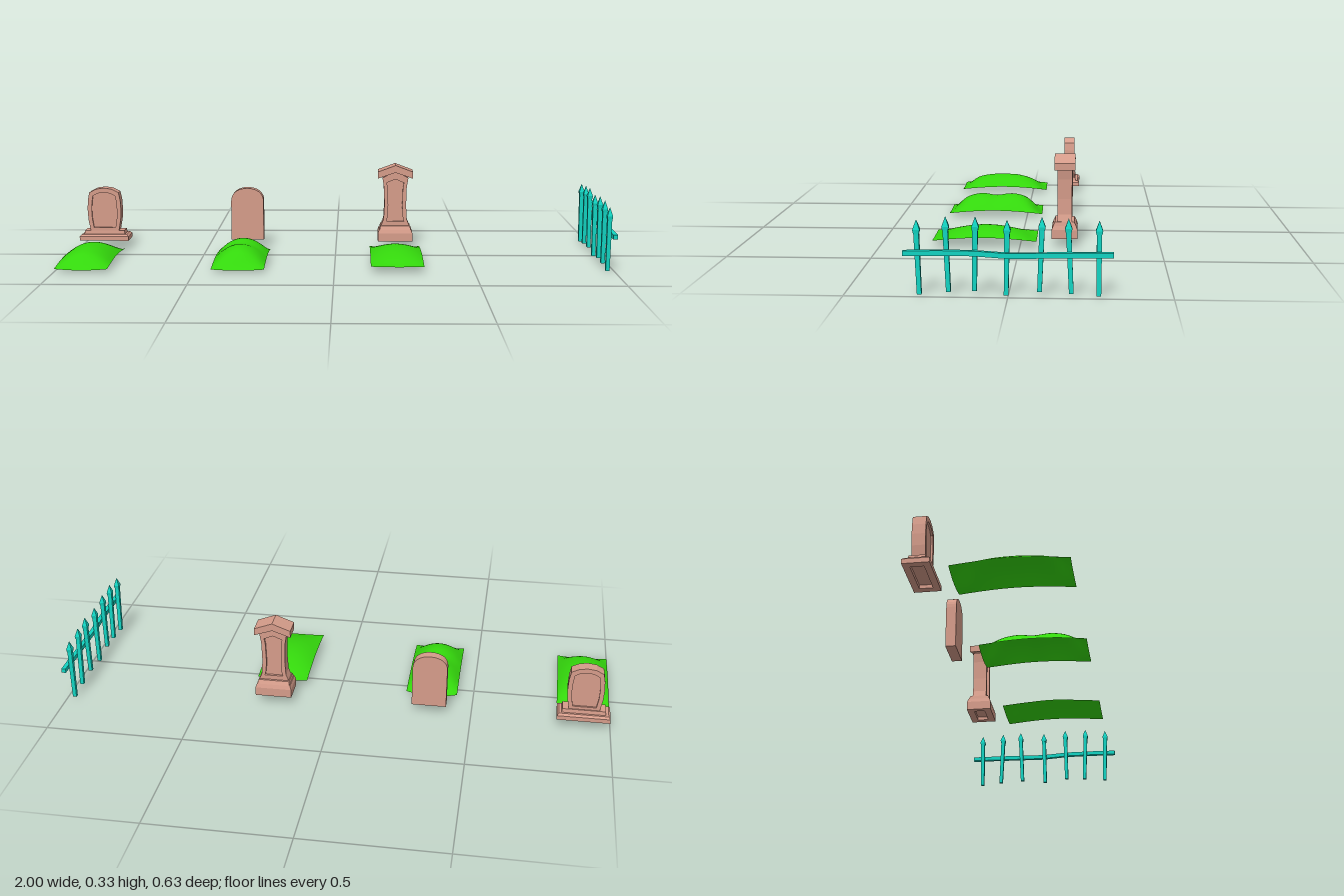
import * as THREE from 'three';

const STONE = new THREE.MeshStandardMaterial({ color: 0xd59c8a, flatShading: true });
const GRASS = new THREE.MeshStandardMaterial({ color: 0x34d80c, side: THREE.DoubleSide });
const IRON = new THREE.MeshStandardMaterial({ color: 0x12d4c2, flatShading: true });

function add(parent, name, geometry, material, x = 0, y = 0, z = 0) {
  const mesh = new THREE.Mesh(geometry, material);
  mesh.name = name;
  mesh.position.set(x, y, z);
  parent.add(mesh);
}

// Rectangular rings [halfX, halfZ, y, shiftZ] skinned in order and capped at both ends
function loft(rings) {
  const pos = [], idx = [];
  for (const [w, d, y, s = 0] of rings) pos.push(-w, y, d + s, w, y, d + s, w, y, -d + s, -w, y, -d + s);
  for (let r = 0; r < rings.length - 1; r++) {
    for (let i = 0; i < 4; i++) {
      const a = r * 4 + i, b = r * 4 + (i + 1) % 4;
      idx.push(a, b, b + 4, a, b + 4, a + 4);
    }
  }
  const t = (rings.length - 1) * 4;
  idx.push(0, 2, 1, 0, 3, 2, t, t + 1, t + 2, t, t + 2, t + 3);
  const g = new THREE.BufferGeometry();
  g.setAttribute('position', new THREE.Float32BufferAttribute(pos, 3));
  g.setIndex(idx);
  const flat = g.toNonIndexed();
  flat.computeVertexNormals();
  return flat;
}

// Closed outline mirrored from its right half, listed bottom to top
function mirrored(half) {
  const left = half.filter(p => p[0] > 0).map(([x, y]) => [-x, y]).reverse();
  return [...half, ...left].map(([x, y]) => new THREE.Vector2(x, y));
}

// Slab extruded along z and centred on z = 0
function slab(half, depth, holeHalf) {
  const shape = new THREE.Shape(mirrored(half));
  if (holeHalf) shape.holes.push(new THREE.Path(mirrored(holeHalf)));
  return new THREE.ExtrudeGeometry(shape, { depth, bevelEnabled: false }).translate(0, 0, -depth / 2);
}

// Frame with a recessed panel on both faces
function panelled(parent, half, hole, depth, recess) {
  add(parent, 'stoneFrame', slab(half, depth, hole), STONE);
  add(parent, 'recessedPanel', slab(hole, depth - 2 * recess), STONE);
}

function group(parent, name, x, y, z) {
  const g = new THREE.Group();
  g.name = name;
  g.position.set(x, y, z);
  parent.add(g);
  return g;
}

// Wide stone with bulging sides on a stepped, hollow base
function wideStone(parent) {
  const g = group(parent, 'wideHeadstone', -0.903, 0, -0.161);
  add(g, 'steppedBase', loft([
    [0.07, 0.022, 0.042], [0.07, 0.022, 0.03], [0.095, 0.044, 0.03], [0.095, 0.044, 0.046],
    [0.088, 0.036, 0.053], [0.079, 0.028, 0.053], [0.077, 0.026, 0.067]]), STONE);
  panelled(g,
    [[0.055, 0.066], [0.063, 0.11], [0.065, 0.15], [0.063, 0.185], [0.057, 0.216], [0.03, 0.23], [0, 0.234]],
    [[0.042, 0.078], [0.048, 0.115], [0.049, 0.15], [0.047, 0.18], [0.043, 0.203], [0.024, 0.213], [0, 0.217]],
    0.044, 0.007);
}

// Plain slab with an arched top
function archedStone(parent) {
  const g = group(parent, 'archedHeadstone', -0.345, 0, -0.163);
  const half = [[0.063, 0.03]];
  for (let i = 0; i <= 8; i++) {
    const a = i / 8 * Math.PI / 2;
    half.push([i === 8 ? 0 : 0.063 * Math.cos(a) ** 0.9, 0.182 + 0.051 * Math.sin(a) ** 0.9]);
  }
  add(g, 'archedSlab', slab(half, 0.036), STONE);
}

// Tall pillar stone with a gabled cap
function pillarStone(parent) {
  const g = group(parent, 'pillarHeadstone', 0.23, 0, -0.159);
  add(g, 'steppedBase', loft([
    [0.045, 0.02, 0.042], [0.045, 0.02, 0.03], [0.067, 0.046, 0.03], [0.067, 0.046, 0.062],
    [0.062, 0.041, 0.076], [0.06, 0.041, 0.076], [0.057, 0.034, 0.09]]), STONE);
  panelled(g,
    [[0.055, 0.089], [0.045, 0.115], [0.042, 0.17], [0.044, 0.24], [0.05, 0.277], [0, 0.302]],
    [[0.034, 0.107], [0.029, 0.125], [0.027, 0.17], [0.029, 0.235], [0.033, 0.258], [0, 0.272]],
    0.052, 0.009);
  add(g, 'gabledCap', slab([[0, 0.299], [0.067, 0.276], [0.067, 0.302], [0, 0.327]], 0.074), STONE);
}

// Grass sheet domed between its long edges; crest gives ridge heights from back to front
function mound(parent, x, lift, crest) {
  const ridge = new THREE.SplineCurve(crest.map((h, i) => new THREE.Vector2(i, h)));
  const g = new THREE.PlaneGeometry(0.19, 0.37, 16, 24).rotateX(-Math.PI / 2);
  const p = g.attributes.position;
  for (let i = 0; i < p.count; i++) {
    const u = p.getX(i) / 0.095;
    const v = THREE.MathUtils.clamp(p.getZ(i) / 0.37 + 0.5, 0, 1);
    const edge = lift + 0.012 + 0.012 * Math.sin(Math.PI * v);
    const top = ridge.getPoint(v).y;
    p.setY(i, edge + (top - edge) * (1 - Math.abs(u) ** 2));
  }
  g.computeVertexNormals();
  add(parent, 'graveMound', g, GRASS, x, 0, 0.126);
}

// Fence of uneven pickets and one crooked rail
function fence(parent) {
  const g = group(parent, 'fence', 0, 0, 0);
  // bottom z, top z, bottom y, tip y
  const pickets = [
    [0.27, 0.277, 0.003, 0.233], [0.181, 0.189, 0.012, 0.243], [0.102, 0.099, 0.015, 0.243],
    [0.006, 0.003, 0.003, 0.234], [-0.095, -0.102, 0.015, 0.244], [-0.191, -0.182, 0.01, 0.24],
    [-0.274, -0.274, 0.003, 0.234]];
  for (const [z0, z1, y0, tip] of pickets) {
    const neck = tip - 0.041;
    add(g, 'picket', loft([
      [0.007, 0.007, y0, z0], [0.008, 0.008, neck, z1], [0.009, 0.009, neck, z1],
      [0.010, 0.011, tip - 0.03, z1], [0.0003, 0.0003, tip, z1]]), IRON, 0.975);
  }
  // Rail: a bar whose segments follow a bent line
  const bends = [0.133, 0.132, 0.13, 0.128, 0.135, 0.135, 0.133];
  const rail = new THREE.BoxGeometry(0.016, 0.016, 0.634, 1, 1, 6);
  const p = rail.attributes.position;
  for (let i = 0; i < p.count; i++) {
    p.setY(i, p.getY(i) + bends[Math.round((p.getZ(i) / 0.634 + 0.5) * 6)]);
  }
  rail.computeVertexNormals();
  add(g, 'rail', rail, IRON, 0.991);
}

export function createModel() {
  const model = new THREE.Group();
  model.name = 'graveyard';
  wideStone(model);
  archedStone(model);
  pillarStone(model);
  mound(model, -0.904, 0, [0, 0.042, 0.062, 0.066, 0.064, 0.05, 0.007]);
  mound(model, -0.345, 0, [0, 0.06, 0.077, 0.07, 0.077, 0.06, 0.008]);
  mound(model, 0.225, 0.012, [0.018, 0.042, 0.058, 0.063, 0.058, 0.044, 0.022]);
  fence(model);
  return model;
}
